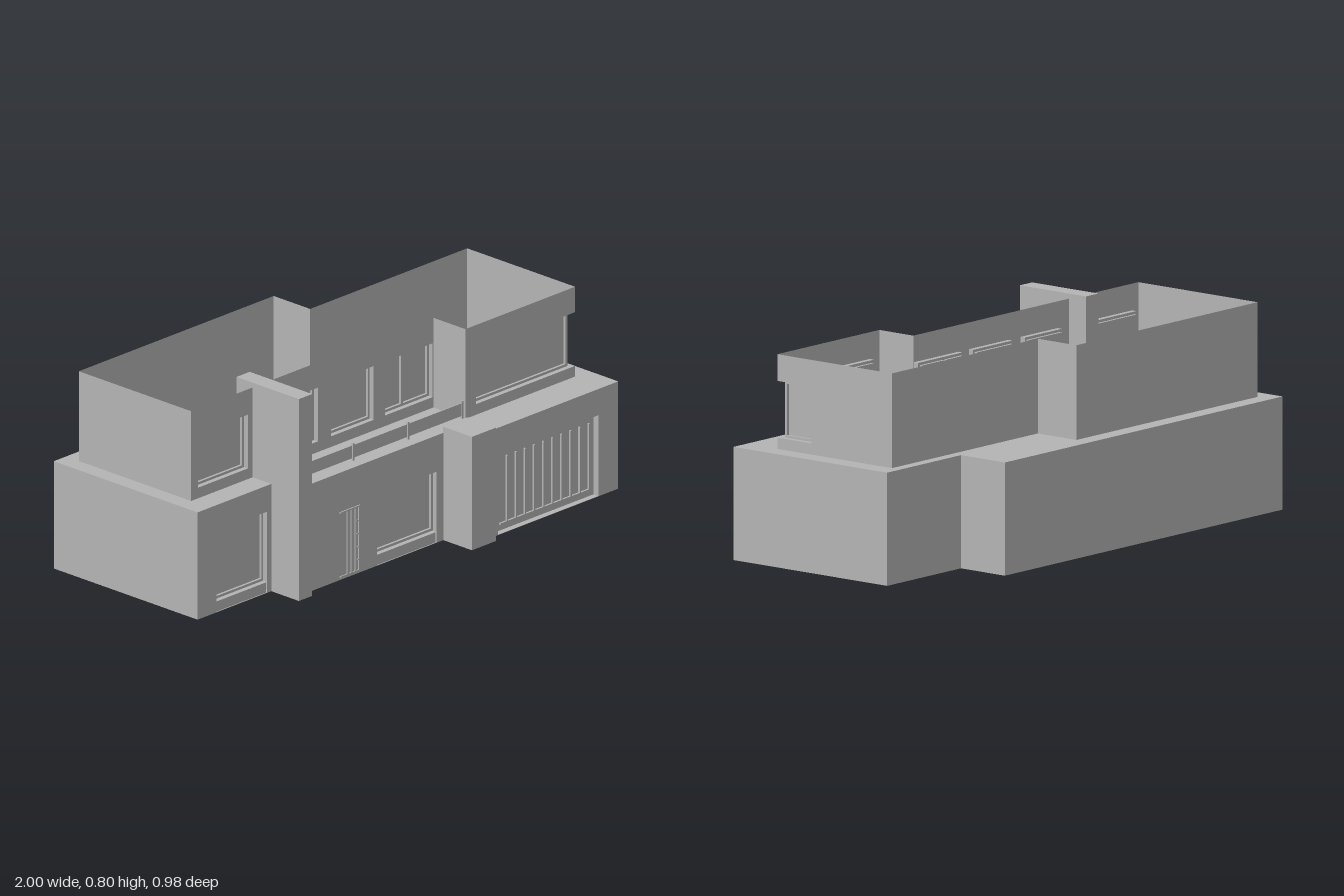
import * as THREE from 'three';

const concrete = new THREE.MeshStandardMaterial({ color: 0xb4b4b4, side: THREE.DoubleSide });
concrete.name = 'plain grey';

function add(parent, name, geometry, x = 0, y = 0, z = 0) {
  const mesh = new THREE.Mesh(geometry, concrete);
  mesh.name = name;
  mesh.position.set(x, y, z);
  parent.add(mesh);
  return mesh;
}

// solid block given by its extents
function block(parent, name, x0, x1, y0, y1, z0, z1) {
  return add(parent, name, new THREE.BoxGeometry(x1 - x0, y1 - y0, z1 - z0),
    (x0 + x1) / 2, (y0 + y1) / 2, (z0 + z1) / 2);
}

const rectPoints = (x0, x1, y0, y1) => [[x0, y0], [x1, y0], [x1, y1], [x0, y1]].map(p => new THREE.Vector2(...p));

// flat rectangle with rectangular holes
function sheet(x0, x1, y0, y1, holes = []) {
  const shape = new THREE.Shape(rectPoints(x0, x1, y0, y1));
  holes.forEach(h => shape.holes.push(new THREE.Path(rectPoints(...h))));
  return new THREE.ShapeGeometry(shape);
}

// four sides of a box, open along z, reaching back from z = front
function reveal(parent, [x0, x1, y0, y1], front, depth) {
  const g = new THREE.BoxGeometry(x1 - x0, y1 - y0, depth);
  g.setIndex(Array.from(g.index.array.slice(0, 24)));
  add(parent, 'reveal', g, (x0 + x1) / 2, (y0 + y1) / 2, front - depth / 2);
}

// stepped recess: reveal, frame and set-back panes
function windowUnit(parent, rect, panes, front = 0, depth = 0.02) {
  reveal(parent, rect, front, depth);
  framedPanes(parent, rect, panes, front - depth);
}
function framedPanes(parent, rect, panes, z) {
  add(parent, 'windowFrame', sheet(...rect, panes), 0, 0, z);
  panes.forEach(p => {
    reveal(parent, p, z, 0.01);
    add(parent, 'windowPane', sheet(...p), 0, 0, z - 0.01);
  });
}

// vertical wall between two plan points; its local x runs from a to b
function wall(parent, name, a, b, y0, y1, holes = []) {
  const g = new THREE.Group();
  g.name = name;
  const dx = b[0] - a[0], dz = b[1] - a[1];
  g.position.set(a[0], 0, a[1]);
  g.rotation.y = Math.atan2(-dz, dx);
  add(g, name + 'Face', sheet(0, Math.hypot(dx, dz), y0, y1, holes));
  parent.add(g);
  return g;
}

// horizontal slab face from plan points (x, z)
function plan(parent, name, points, y) {
  const g = new THREE.ShapeGeometry(new THREE.Shape(points.map(([x, z]) => new THREE.Vector2(x, -z))));
  g.rotateX(-Math.PI / 2);
  add(parent, name, g, 0, y, 0);
}

const inset = ([x0, x1, y0, y1], d = 0.01) => [x0 + d, x1 - d, y0 + d, y1 - d];
const shift = (r, s) => [r[0] - s, r[1] - s, r[2], r[3]];

export function createModel() {
  const house = new THREE.Group();
  house.name = 'house';
  const H = 0.423, TOP = 0.777, SILL = 0.465, HEAD = 0.677;

  // ground floor shell
  const lower = new THREE.Group();
  lower.name = 'groundFloor';
  house.add(lower);
  const foot = [[-1, 0.24], [-0.575, 0.24], [-0.575, 0.345], [0.25, 0.345], [0.25, 0.455],
    [1, 0.455], [1, -0.28], [0.58, -0.28], [0.58, -0.49], [-1, -0.49]];
  const openings = { 0: [-0.9, -0.632, 0.001, 0.32], 2: [-0.16, 0.155, 0.001, 0.28], 4: [0.365, 0.895, 0.001, 0.32] };
  foot.forEach((a, i) => {
    const opening = openings[i] && shift(openings[i], a[0]);
    const w = wall(lower, 'groundWall', a, foot[(i + 1) % foot.length], 0, H, opening ? [opening] : []);
    if (!opening) return;
    if (i === 4) {
      // recessed garage door with upright slats
      reveal(w, opening, 0, 0.025);
      add(w, 'garageDoor', sheet(...opening), 0, 0, -0.025);
      for (let k = 0; k < 10; k++) {
        const x = 0.432 + k * 0.0482 - a[0];
        block(w, 'garageSlat', x - 0.003, x + 0.003, 0.03, 0.29, -0.025, -0.017);
      }
      block(w, 'garageRail', 0.395 - a[0], 0.867 - a[0], 0.026, 0.032, -0.025, -0.017);
    } else {
      // window above a low sill
      const [x0, x1, , y1] = opening;
      const rect = [x0, x1, 0.043, y1];
      windowUnit(w, rect, [inset(rect)]);
      block(w, 'windowSill', x0, x1, 0, 0.043, -0.02, -0.005);
    }
  });
  plan(lower, 'terraceFloor', foot, H);
  plan(lower, 'base', foot, 0);

  // slatted entrance screen
  const door = new THREE.Group();
  door.name = 'entranceScreen';
  house.add(door);
  [-0.318, -0.298, -0.277, -0.257].forEach(x => block(door, 'screenBar', x - 0.003, x + 0.003, 0.012, 0.266, 0.344, 0.35));
  [0.012, 0.265].forEach(y => block(door, 'screenRail', -0.36, -0.254, y - 0.003, y + 0.003, 0.344, 0.35));
  [0.055, 0.105, 0.157, 0.21].forEach(y => block(door, 'screenRung', -0.277, -0.257, y - 0.002, y + 0.002, 0.344, 0.349));

  // open-topped upper floor walls
  const upper = new THREE.Group();
  upper.name = 'upperFloor';
  house.add(upper);
  const L = -0.935, R = 0.925, F = 0.308, M = 0.145, S = 0.345;
  const path = [[R, M], [R, -0.24], [0.095, -0.24], [0.095, -0.425], [L, -0.425], [L, M]];
  path.slice(1).forEach((b, i) => wall(upper, 'upperWall', path[i], b, H, TOP));
  const rects = [[-0.9, -0.635], [-0.475, -0.265], [-0.195, 0.03], [0.09, 0.342]].map(([a, b]) => shift([a, b, SILL, HEAD], L));
  const front = wall(upper, 'upperFrontWall', [L, M], [S, M], H, TOP, rects);
  rects.forEach((r, i) => {
    const p = inset(r);
    const split = 0.2 - L;
    windowUnit(front, r, i < 3 ? [p] : [[p[0], split - 0.005, p[2], p[3]], [split + 0.005, p[1], p[2], p[3]]]);
  });
  wall(upper, 'upperReturnWall', [S, M], [S, F], H, TOP);

  // front-right room with wrap-around corner window
  [[H, SILL], [HEAD, TOP]].forEach(([y0, y1]) => {
    wall(upper, 'cornerRoomWall', [S, F], [R, F], y0, y1);
    wall(upper, 'cornerRoomWall', [R, F], [R, M], y0, y1);
  });
  wall(upper, 'cornerRoomPier', [S, F], [0.4, F], SILL, HEAD);
  const ix = 0.905, iz = 0.288;
  [SILL, HEAD].forEach(y => plan(upper, 'cornerReveal',
    [[0.4, F], [R, F], [R, M], [ix, M], [ix, iz], [0.4, iz]], y));
  wall(upper, 'cornerReveal', [0.4, iz], [0.4, F], SILL, HEAD);
  wall(upper, 'cornerReveal', [ix, M], [R, M], SILL, HEAD);
  [[[0.4, iz], ix - 0.4, 0], [[ix, iz], iz - M, Math.PI / 2]].forEach(([p, len, turn]) => {
    const g = new THREE.Group();
    g.name = 'cornerWindow';
    g.position.set(p[0], 0, p[1]);
    g.rotation.y = turn;
    const r = [0, len, SILL, HEAD];
    framedPanes(g, r, [inset(r)], 0);
    upper.add(g);
  });

  // tall fin and front pillar
  block(house, 'tallFin', -0.61, -0.54, 0, 0.796, 0.063, 0.38);
  block(house, 'frontPillar', 0.19, 0.318, 0, 0.447, 0.343, 0.49);

  // balcony railing
  const railing = new THREE.Group();
  railing.name = 'balconyRailing';
  house.add(railing);
  const posts = [-0.533, -0.236, 0.055, 0.341];
  posts.forEach((x, i) => {
    block(railing, 'railingPost', x - 0.004, x + 0.004, H, 0.492, 0.291, 0.299);
    if (i) block(railing, 'railingPanel', posts[i - 1] + 0.006, x - 0.006, 0.434, 0.484, 0.293, 0.297);
  });

  return house;
}
